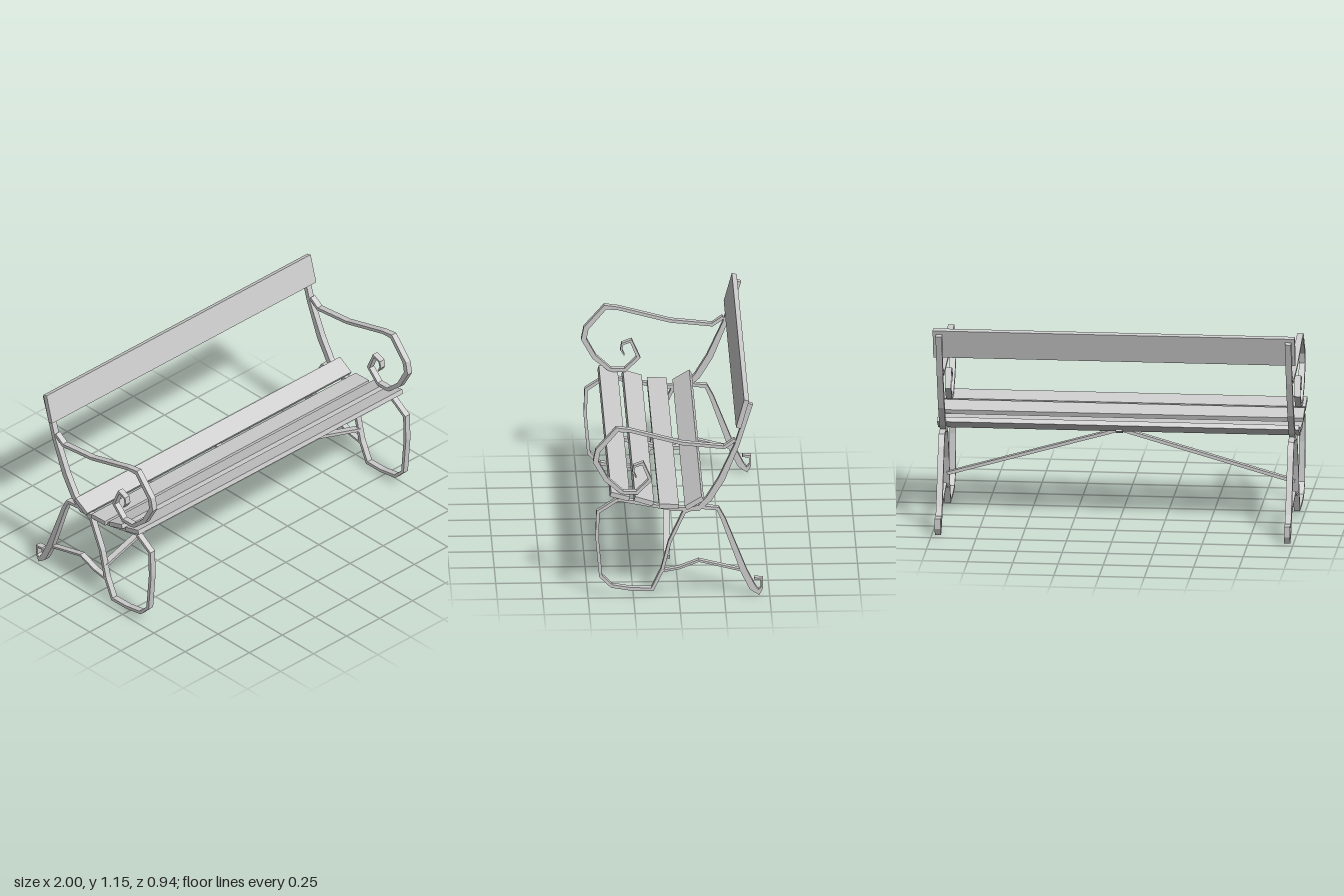
import * as THREE from 'three';

const iron = new THREE.MeshStandardMaterial({ color: 0xcccccc, flatShading: true, side: THREE.DoubleSide });
const wood = new THREE.MeshStandardMaterial({ color: 0xcccccc, flatShading: true });

// Flat bar bent along [z, y, thickness] points, with mitred corners
function bentBar(name, points, width = 0.034) {
  const p = points.map(([z, y]) => new THREE.Vector2(z, y));
  const near = [], far = [];
  p.forEach((pt, i) => {
    const a = pt.clone().sub(p[Math.max(i - 1, 0)]).normalize();
    const b = p[Math.min(i + 1, p.length - 1)].clone().sub(pt).normalize();
    const dir = a.clone().add(b).normalize();
    const ref = a.lengthSq() ? a : b;
    const half = (points[i][2] ?? 0.018) / 2 / Math.max(dir.dot(ref), 0.6);
    const n = new THREE.Vector2(-dir.y, dir.x).multiplyScalar(half);
    near.push(pt.clone().add(n));
    far.unshift(pt.clone().sub(n));
  });
  const geo = new THREE.ExtrudeGeometry(new THREE.Shape([...near, ...far]), { depth: width, bevelEnabled: false });
  geo.translate(0, 0, -width / 2).rotateY(-Math.PI / 2);
  const mesh = new THREE.Mesh(geo, iron);
  mesh.name = name;
  return mesh;
}

// Long plank; tilt turns it about its length
function slat(name, z, y, height, depth, tilt) {
  const mesh = new THREE.Mesh(new THREE.BoxGeometry(2, height, depth), wood);
  mesh.name = name;
  mesh.position.set(0, y, z);
  mesh.rotation.x = tilt;
  return mesh;
}

function sideFrame(name) {
  const frame = new THREE.Group();
  frame.name = name;
  frame.add(
    // back upright sweeping forward under the seat
    bentBar('backAndSeatRail', [
      [-0.395, 1.125, 0.026], [-0.32, 0.885, 0.026], [-0.235, 0.685, 0.036], [-0.165, 0.57, 0.034],
      [-0.105, 0.512, 0.024], [0.03, 0.512], [0.2, 0.546], [0.335, 0.573],
    ]),
    // armrest ending in a scroll
    bentBar('armrest', [
      [-0.31, 0.915], [-0.25, 0.872], [-0.02, 0.897], [0.27, 0.975], [0.34, 0.982, 0.024],
      [0.445, 0.86, 0.028], [0.458, 0.795, 0.028], [0.4, 0.69, 0.026], [0.31, 0.612, 0.02], [0.23, 0.612],
      [0.157, 0.685], [0.198, 0.782, 0.014], [0.245, 0.765, 0.012], [0.252, 0.73, 0.01], [0.235, 0.7, 0.006],
    ]),
    // looped front leg running over into the rear leg and its curled foot
    bentBar('legs', [
      [0.335, 0.573], [0.445, 0.5], [0.45, 0.35], [0.43, 0.125], [0.37, 0.065], [0.26, 0.046],
      [0.145, 0.044], [0.09, 0.16], [0.05, 0.32], [-0.03, 0.495], [-0.1, 0.524], [-0.215, 0.512],
      [-0.245, 0.45, 0.024], [-0.36, 0.14, 0.036], [-0.405, 0.05, 0.036], [-0.44, 0.018, 0.02],
      [-0.458, 0.045, 0.012], [-0.458, 0.096, 0.012], [-0.415, 0.1, 0.012],
    ]),
    bentBar('legStretcher', [[0.09, 0.15, 0.012], [0, 0.165, 0.012], [-0.11, 0.208, 0.012], [-0.35, 0.148, 0.012]]),
  );
  return frame;
}

export function createModel() {
  const bench = new THREE.Group();
  bench.name = 'bench';

  // seat planks follow the dip of the rail
  [[0.325, 0.597, 0.27], [0.193, 0.568, 0.3], [0.055, 0.536, 0.04], [-0.085, 0.553, -0.54]].forEach(([z, y, tilt], i) =>
    bench.add(slat('seatSlat' + (i + 1), z, y, 0.027, 0.108, -tilt)));
  bench.add(slat('backSlat', -0.35, 1.072, 0.168, 0.028, -0.27));

  // support under the middle of the seat
  bench.add(bentBar('centreSupport', [[0.3, 0.572], [0.19, 0.543], [0.06, 0.513], [-0.04, 0.512], [-0.075, 0.53]], 0.038));

  for (const side of [1, -1]) {
    const frame = sideFrame(side > 0 ? 'leftFrame' : 'rightFrame');
    frame.position.x = side * 0.965;
    bench.add(frame);

    // diagonal brace from the front leg up to the centre support
    const from = new THREE.Vector3(side * 0.96, 0.225, 0.065);
    const to = new THREE.Vector3(0, 0.506, 0.035);
    const brace = new THREE.Mesh(new THREE.BoxGeometry(0.036, 0.018, from.distanceTo(to)), iron);
    brace.name = side > 0 ? 'leftBrace' : 'rightBrace';
    brace.position.copy(from).lerp(to, 0.5);
    brace.lookAt(to);
    bench.add(brace);
  }
  return bench;
}
